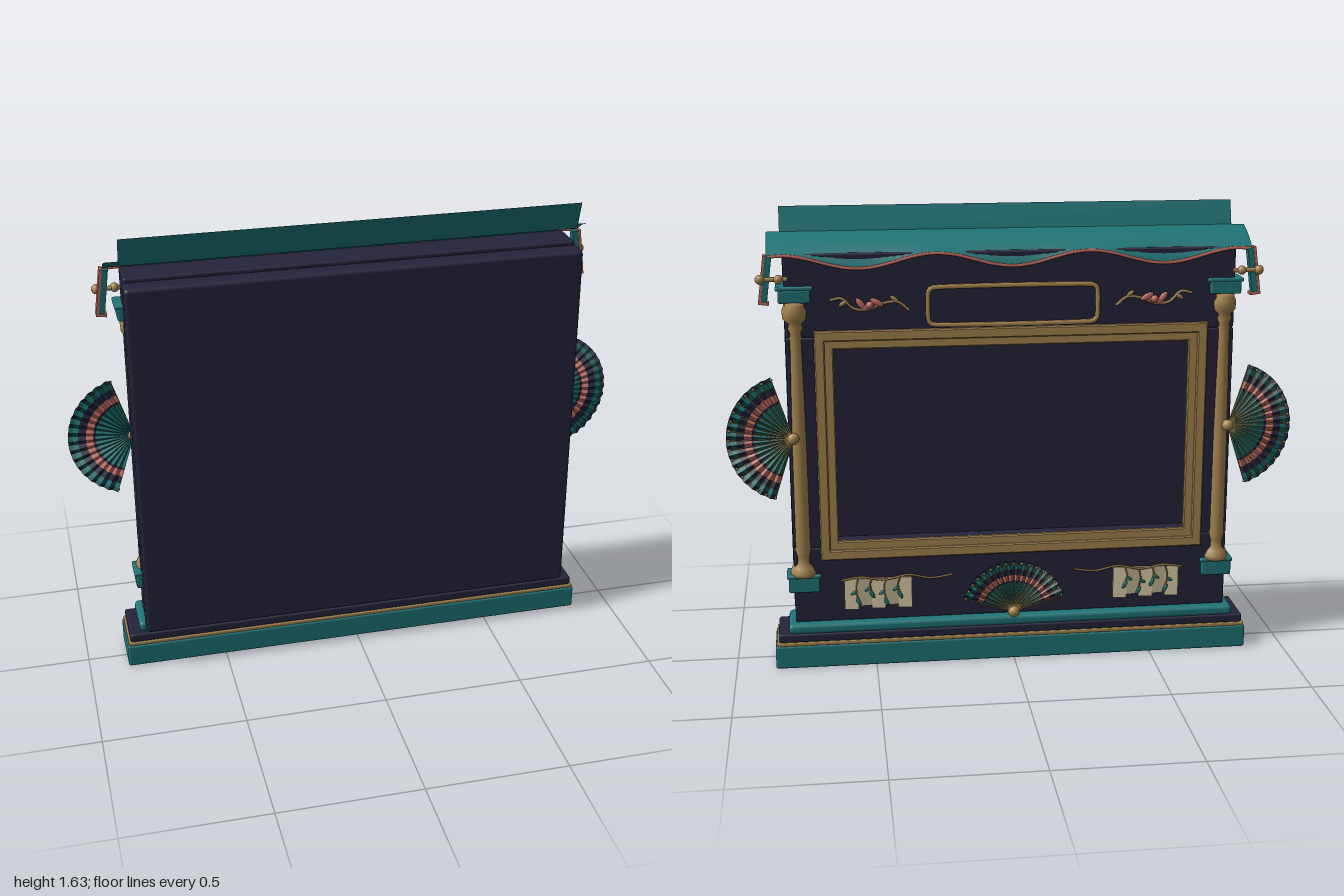
import * as THREE from 'three';
import { RoundedBoxGeometry } from 'three/addons/geometries/RoundedBoxGeometry.js';

const mat = (name, color, double) => {
  const m = new THREE.MeshStandardMaterial({ color });
  m.name = name;
  if (double) m.side = THREE.DoubleSide;
  return m;
};

export function createModel() {
  const navy = mat('navy', 0x25243b), teal = mat('teal', 0x1f7577, true);
  const green = mat('deep green', 0x0e5a52, true), gold = mat('gold', 0xa88751);
  const salmon = mat('salmon', 0xc46f62, true), cream = mat('cream', 0xd6c7a4, true);
  const fanNavy = mat('fan navy', 0x22233c, true);

  const model = new THREE.Group();
  model.name = 'ornateCabinet';
  const add = (name, geo, m, x = 0, y = 0, z = 0, parent = model) => {
    const mesh = new THREE.Mesh(geo, m);
    mesh.name = name;
    mesh.position.set(x, y, z);
    parent.add(mesh);
    return mesh;
  };
  // Rounded box given by its limits
  const block = (name, m, x0, x1, y0, y1, z0, z1, r = 0.008) =>
    add(name, new RoundedBoxGeometry(x1 - x0, y1 - y0, z1 - z0, 2, r), m,
      (x0 + x1) / 2, (y0 + y1) / 2, (z0 + z1) / 2);
  const tube = (name, pts, r, m, closed = false, parent = model) =>
    add(name, new THREE.TubeGeometry(new THREE.CatmullRomCurve3(
      pts.map(p => new THREE.Vector3(...p)), closed), pts.length * 6, r, 6, closed), m, 0, 0, 0, parent);

  // Stepped plinth
  block('plinth', teal, -0.86, 0.86, 0, 0.085, -0.08, 0.12, 0.008);
  block('plinthGoldLine', gold, -0.855, 0.855, 0.083, 0.097, -0.076, 0.117, 0.004);
  block('plinthNavyStep', navy, -0.848, 0.848, 0.095, 0.128, -0.073, 0.113);
  block('plinthTealStep', teal, -0.81, 0.81, 0.125, 0.162, -0.055, 0.113, 0.014);

  // Cabinet body around a recess
  block('backPanel', navy, -0.79, 0.79, 0.16, 1.48, -0.125, -0.045, 0.014);
  block('lowerPanel', navy, -0.785, 0.785, 0.16, 0.44, -0.045, 0.08);
  block('upperPanel', navy, -0.785, 0.785, 1.2, 1.49, -0.045, 0.08);
  for (const s of [-1, 1])
    add('sidePost', new RoundedBoxGeometry(0.135, 0.76, 0.125, 2, 0.006), navy, s * 0.7175, 0.82, 0.0175);

  // Picture frame: two stepped rectangles with a hole
  const frame = (name, w, h, t, depth, z) => {
    const s = new THREE.Shape([[-w, -h], [w, -h], [w, h], [-w, h]].map(p => new THREE.Vector2(...p)));
    s.holes.push(new THREE.Path([[t - w, t - h], [t - w, h - t], [w - t, h - t], [w - t, t - h]]
      .map(p => new THREE.Vector2(...p))));
    add(name, new THREE.ExtrudeGeometry(s, { depth, bevelEnabled: true, bevelSize: 0.004,
      bevelThickness: 0.004, bevelSegments: 1 }), gold, 0, 0.81, z);
  };
  frame('outerFrame', 0.685, 0.41, 0.028, 0.018, 0.074);
  frame('innerFrame', 0.655, 0.38, 0.028, 0.012, 0.07);

  // Columns with capitals, bases and teal blocks
  const profile = [[0, 0.335], [0.048, 0.335], [0.048, 0.35], [0.04, 0.37], [0.03, 0.385], [0.03, 0.41],
    [0.034, 0.43], [0.033, 0.8], [0.029, 1.19], [0.029, 1.22], [0.034, 1.235], [0.03, 1.25],
    [0.043, 1.265], [0.045, 1.295], [0.038, 1.31], [0.038, 1.325], [0, 1.325]]
    .map(p => new THREE.Vector2(...p));
  for (const s of [-1, 1]) {
    add('column', new THREE.LatheGeometry(profile, 24), gold, s * 0.75, 0, 0.058);
    for (const [name, y, h, w] of [['columnFoot', 0.305, 0.055, 0.11], ['columnFootTop', 0.335, 0.015, 0.122],
      ['columnCap', 1.345, 0.045, 0.11], ['columnCapTop', 1.372, 0.015, 0.128]])
      add(name, new RoundedBoxGeometry(w, h, 0.094, 2, 0.006), teal, s * 0.75, y, 0.047);
  }

  // Awning surface, swept along x with a wavy front edge
  const edgeY = x => 1.462 - 0.024 * Math.cos((x / 0.53) * Math.PI * 2);
  const N = 64, pos = [], idx = [];
  for (let i = 0; i <= N; i++) {
    const x = -0.84 + 1.68 * i / N;
    for (const [y, z] of [[1.55, -0.04], [1.537, -0.005], [1.518, 0.035], [1.493, 0.072], [edgeY(x), 0.09]])
      pos.push(x, y, z);
  }
  for (let i = 0; i < N; i++) for (let j = 0; j < 4; j++) {
    const a = i * 5 + j, b = a + 5;
    idx.push(a, a + 1, b, b, a + 1, b + 1);
  }
  const awning = new THREE.BufferGeometry();
  awning.setAttribute('position', new THREE.Float32BufferAttribute(pos, 3));
  awning.setIndex(idx);
  awning.computeVertexNormals();
  add('awning', awning, teal);
  const trim = [];
  for (let i = 0; i <= 24; i++) { const x = -0.84 + 0.07 * i; trim.push([x, edgeY(x), 0.091]); }
  tube('awningTrim', trim, 0.006, salmon);
  const ridge = add('awningRidge', new THREE.PlaneGeometry(1.59, 0.107), teal, 0, 1.583, -0.05);
  ridge.rotation.x = -0.29;

  // Hanging ribbons and finials at the awning ends
  for (const s of [-1, 1]) {
    const g = new THREE.Group();
    g.name = 'cornerRibbon';
    g.position.set(s * 0.842, 1.405, 0.082);
    g.rotation.z = s * 0.13;
    model.add(g);
    add('ribbon', new THREE.BoxGeometry(0.022, 0.16, 0.03), teal, 0, 0, 0, g);
    add('ribbonEdge', new THREE.BoxGeometry(0.009, 0.165, 0.036), salmon, s * 0.014, 0, 0, g);
    add('ribbonHem', new THREE.BoxGeometry(0.036, 0.01, 0.038), salmon, 0, -0.08, 0, g);
    const rod = add('finialRod', new THREE.CylinderGeometry(0.008, 0.008, 0.1, 10), gold, s * 0.82, 1.408, 0.1);
    rod.rotation.z = Math.PI / 2;
    add('finial', new THREE.SphereGeometry(0.017, 14, 10), gold, s * 0.862, 1.408, 0.1);
    add('ribbonKnot', new THREE.SphereGeometry(0.016, 14, 10), gold, s * 0.8, 1.408, 0.104);
  }

  // Rounded gold name plate border
  const plate = [], pw = 0.295, ph = 0.065, pr = 0.022;
  [[1, 1], [-1, 1], [-1, -1], [1, -1]].forEach(([sx, sy], q) => {
    for (let k = 0; k <= 4; k++) {
      const a = (q + k / 4) * Math.PI / 2;
      plate.push([sx * (pw - pr) + pr * Math.cos(a), 1.302 + sy * (ph - pr) + pr * Math.sin(a), 0.083]);
    }
  });
  tube('namePlateBorder', plate, 0.009, gold, true);

  // Small flat leaf shared by vines and sprigs
  const leaf = (name, m, x, y, z, angle, size) => {
    const l = add(name, new THREE.SphereGeometry(size, 10, 6), m, x, y, z);
    l.scale.set(1, 0.42, 0.25);
    l.rotation.z = angle;
  };

  // Vines beside the name plate, hanging panels and sprigs below
  for (const s of [-1, 1]) {
    tube('vine', [[0.36, 1.29], [0.4, 1.32], [0.45, 1.315], [0.5, 1.295], [0.55, 1.3], [0.59, 1.335], [0.63, 1.33]]
      .map(([x, y]) => [s * x, y, 0.083]), 0.005, gold);
    for (const [x, y, a] of [[0.47, 1.32, 0.5], [0.5, 1.305, -0.3], [0.525, 1.315, 0.9]])
      leaf('vinePetal', salmon, s * x, y, 0.087, s * a, 0.026);
    for (const [x, y, a] of [[0.41, 1.33, 0.7], [0.585, 1.318, -0.6]])
      leaf('vineLeaf', gold, s * x, y, 0.084, s * a, 0.018);
    add('flowerBud', new THREE.SphereGeometry(0.013, 10, 8), salmon, s * 0.495, 1.312, 0.094);

    for (let i = 0; i < 5; i++) {
      const h = 0.115 - 0.012 * (i % 2);
      const strip = add('hangingPanel', new THREE.BoxGeometry(0.05, h, 0.006), cream,
        s * (0.392 + 0.048 * i), 0.32 - h / 2, 0.086);
      strip.rotation.y = i % 2 ? 0.12 : -0.12;
    }
    tube('branch', [[0.22, 0.325], [0.3, 0.315], [0.38, 0.33], [0.47, 0.315], [0.55, 0.328], [0.62, 0.318]]
      .map(([x, y]) => [s * x, y, 0.093]), 0.004, gold);
    for (const [x, len] of [[0.41, 0.06], [0.46, 0.085], [0.51, 0.055], [0.56, 0.08]]) {
      tube('sprigStem', [[s * x, 0.322, 0.093], [s * (x + 0.008), 0.322 - len / 2, 0.094],
        [s * x, 0.322 - len, 0.093]], 0.003, gold);
      leaf('sprigLeaf', teal, s * x, 0.316 - len, 0.094, 1.1 * s, 0.017);
      leaf('sprigLeaf', teal, s * (x + 0.015), 0.33 - len / 2 - 0.02, 0.094, -0.6 * s, 0.014);
    }
  }

  // Pleated fan opening towards +y, in rings of colour
  const fan = (name, R, x, y, turn) => {
    const g = new THREE.Group(), span = 2.52, pleats = 32;
    g.name = name;
    g.position.set(x, y, 0.1);
    g.rotation.z = turn;
    model.add(g);
    const at = (i, r) => {
      const a = Math.PI / 2 - span / 2 + span * i / pleats;
      return [r * Math.cos(a), r * Math.sin(a), (i % 2 ? 0.006 : -0.006) * r / R];
    };
    const ring = (label, r0, r1, even, odd) => [even, odd].forEach((m, parity) => {
      const p = [];
      for (let i = parity; i < pleats; i += 2) {
        const a = at(i, r0 * R), b = at(i, r1 * R), c = at(i + 1, r1 * R), d = at(i + 1, r0 * R);
        p.push(...a, ...c, ...b, ...a, ...d, ...c);
      }
      const geo = new THREE.BufferGeometry();
      geo.setAttribute('position', new THREE.Float32BufferAttribute(p, 3));
      geo.computeVertexNormals();
      add(label, geo, m, 0, 0, 0, g);
    });
    ring('fanInner', 0.06, 0.58, teal, green);
    ring('fanNavyLine', 0.58, 0.62, fanNavy, fanNavy);
    ring('fanSalmonBand', 0.62, 0.73, salmon, salmon);
    ring('fanNavyBand', 0.73, 0.85, fanNavy, fanNavy);
    ring('fanRim', 0.85, 0.93, teal, green);
    ring('fanEdge', 0.93, 1, green, fanNavy);
    for (let i = 0; i <= pleats; i += 2) {
      const a = Math.PI / 2 - span / 2 + span * i / pleats;
      const rib = add('fanRib', new THREE.BoxGeometry(R * 0.95, 0.0035, 0.003), gold,
        Math.cos(a) * R * 0.485, Math.sin(a) * R * 0.485, 0.004, g);
      rib.rotation.z = a;
      add('fanRibTip', new THREE.SphereGeometry(0.005, 8, 6), gold,
        Math.cos(a) * R * 0.965, Math.sin(a) * R * 0.965, 0.003, g);
    }
    add('fanPivot', new THREE.SphereGeometry(0.021, 16, 12), gold, 0, 0, 0.003, g);
  };
  fan('lowerFan', 0.19, 0, 0.175, 0);
  fan('sideFan', 0.23, -0.77, 0.85, Math.PI / 2);
  fan('sideFan', 0.23, 0.77, 0.85, -Math.PI / 2);

  // The decorated side looks towards -z
  model.rotation.y = Math.PI;
  const root = new THREE.Group();
  root.name = 'cabinet';
  root.add(model);
  return root;
}
